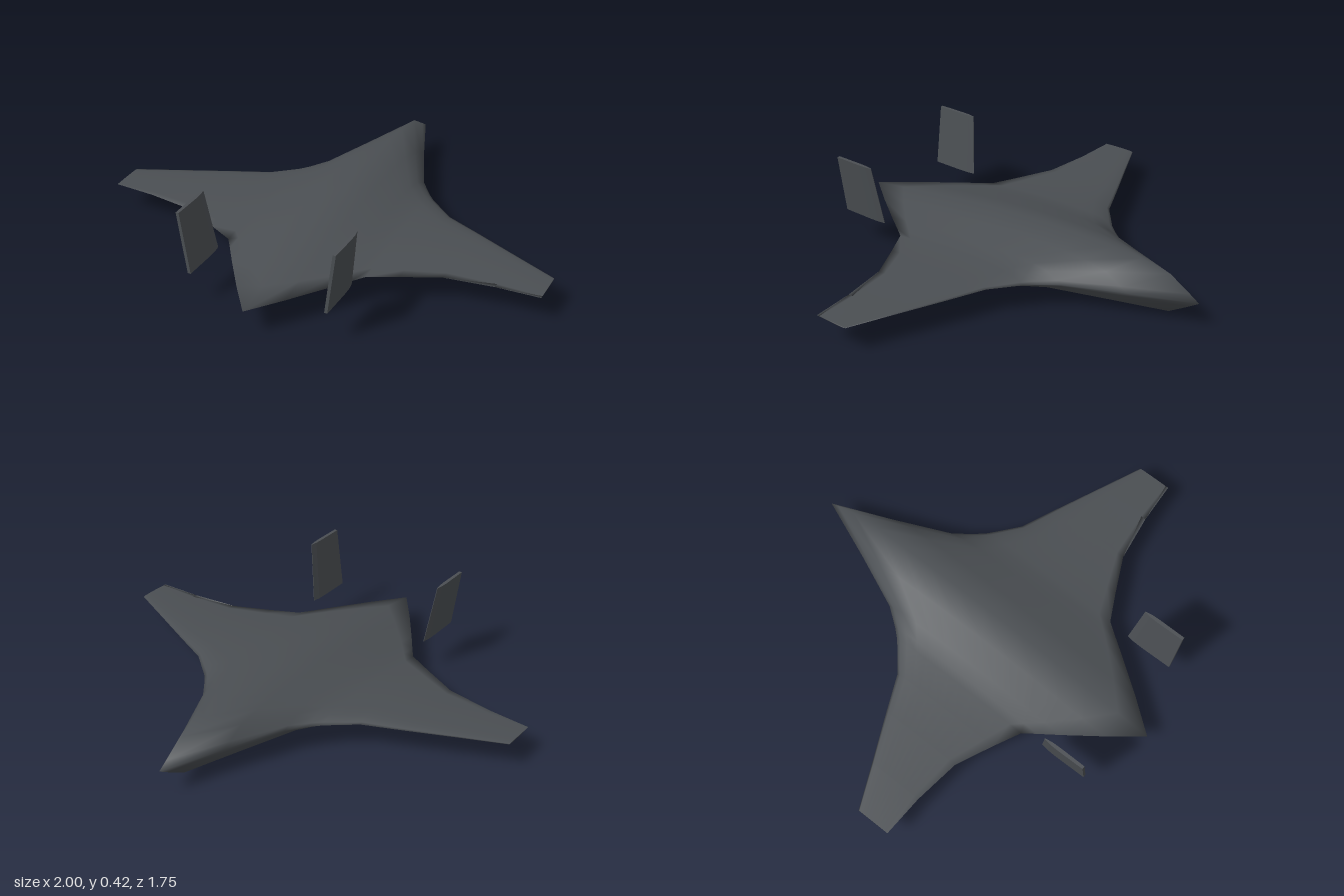
import * as THREE from 'three';

const CENTRE_Y = 0.122;

// Skin a series of closed rings (arrays of [x, y, z]) and cap both ends.
// Rings run counter-clockwise when seen from the last ring's side.
function loft(rings) {
  const n = rings[0].length, last = rings.length - 1, index = [];
  for (let i = 0; i < last; i++) {
    for (let j = 0; j < n; j++) {
      const a = i * n + j, b = i * n + (j + 1) % n;
      index.push(a, b, a + n, b, b + n, a + n);
    }
  }
  for (let j = 1; j < n - 1; j++) {
    index.push(0, j + 1, j);
    index.push(last * n, last * n + j, last * n + j + 1);
  }
  const geo = new THREE.BufferGeometry();
  geo.setAttribute('position', new THREE.Float32BufferAttribute(rings.flat(2), 3));
  geo.setIndex(index);
  geo.computeVertexNormals();
  return geo;
}

// Closed symmetric section from [chord fraction, thickness] pairs: out along one side, back on the other.
function closedSection(half) {
  const back = half.filter(([, t]) => t > 0).reverse().map(([f, t]) => [f, -t]);
  return [...half, ...back];
}

const aerofoil = closedSection([
  [0, 0], [0.025, 0.24], [0.08, 0.73], [0.16, 0.92], [0.24, 0.98], [0.33, 1], [0.42, 0.97],
  [0.5, 0.92], [0.61, 0.79], [0.71, 0.62], [0.81, 0.42], [0.91, 0.2], [1, 0],
]);
const finSection = closedSection([[0, 0.15], [0.15, 0.8], [0.35, 1], [1, 0.85]]);

// Half-span stations: x, leading edge z, trailing edge z, half thickness
const stations = [
  [0, -0.88, 0.875, 0.121], [0.11, -0.61, 0.735, 0.089], [0.22, -0.36, 0.585, 0.053],
  [0.28, -0.28, 0.5, 0.039], [0.32, -0.235, 0.445, 0.032], [0.44, -0.135, 0.385, 0.021],
  [0.6, -0.065, 0.31, 0.013], [0.81, 0.03, 0.28, 0.007], [1, 0.115, 0.27, 0.003],
];

function blendedBody() {
  const mirrored = stations.slice(1).reverse().map(([x, ...rest]) => [-x, ...rest]);
  const rings = [...mirrored, ...stations].map(([x, lead, trail, t]) =>
    aerofoil.map(([f, h]) => [x, CENTRE_Y + h * t, lead + f * (trail - lead)]));
  return loft(rings);
}

// Upright tail fin, leaning outward with a swept leading edge
function fin(side) {
  const levels = [[0.307, 0.145, 0.548], [0.345, 0.418, 0.576]];
  const rings = levels.map(([x, y, lead]) =>
    finSection.map(([f, h]) => [side * x - h * 0.008, y, lead + f * (0.77 - lead)]));
  const geo = loft(rings).toNonIndexed();
  geo.computeVertexNormals();
  return geo;
}

export function createModel() {
  const model = new THREE.Group();
  model.name = 'aircraft';
  const skin = new THREE.MeshStandardMaterial({ color: 0x4a4e52 });
  const amber = new THREE.MeshStandardMaterial({ color: 0xd08a20 });

  const add = (name, geo, mat) => {
    const mesh = new THREE.Mesh(geo, mat);
    mesh.name = name;
    model.add(mesh);
    return mesh;
  };

  add('blendedWingBody', blendedBody(), skin);

  for (const [label, side] of [['left', 1], ['right', -1]]) {
    add(label + 'TailFin', fin(side), skin);
    // Small exhaust glow just breaking through the underside
    const glow = add(label + 'Exhaust', new THREE.SphereGeometry(1, 16, 10), amber);
    glow.scale.set(0.012, 0.006, 0.03);
    glow.position.set(side * 0.18, 0.107, 0.53);
  }
  return model;
}
